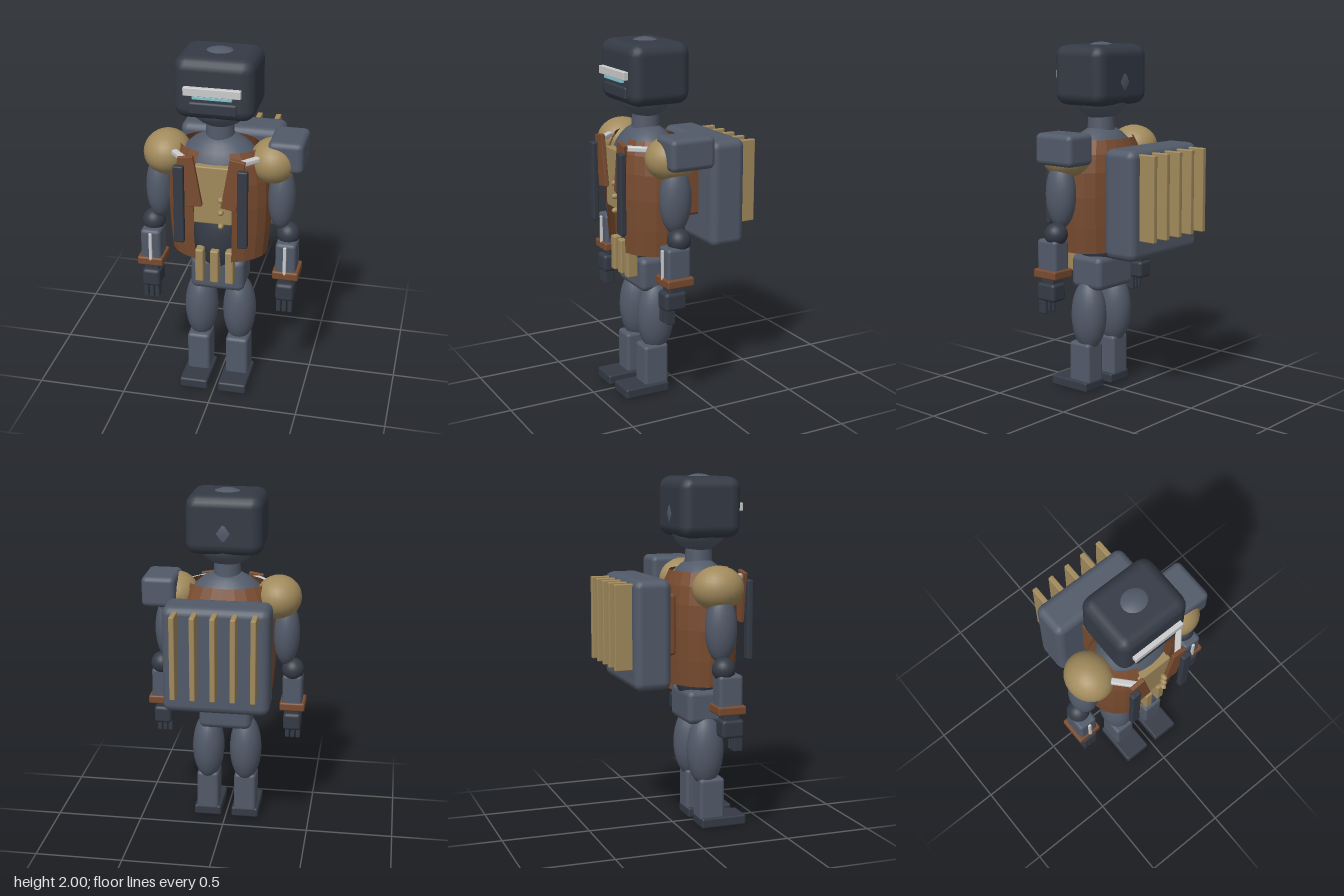
import * as THREE from 'three';
import { RoundedBoxGeometry } from 'three/addons/geometries/RoundedBoxGeometry.js';

const mat = (color, extra = {}) => new THREE.MeshStandardMaterial({ color, ...extra });
const slate = mat(0x525a69), dark = mat(0x343a45), brown = mat(0x784b2f), tan = mat(0xa18a5c);
const pale = mat(0xc0c0c0), cyan = mat(0x86c8d2);
const coatMat = mat(0x784b2f, { side: THREE.DoubleSide, flatShading: true });
const CZ = 0.155; // body axis in z

export function createModel() {
  const model = new THREE.Group();
  model.name = 'armouredTraveller';
  model.position.x = -0.004;

  function add(name, geometry, material, x, y, z) {
    const m = new THREE.Mesh(geometry, material);
    m.name = name;
    m.position.set(x, y, z);
    model.add(m);
    return m;
  }
  // box with bevelled edges: size, centre, bevel radius
  const box = (name, material, [w, h, d], [x, y, z], r = 0.012) =>
    add(name, new RoundedBoxGeometry(w, h, d, 2, Math.min(r, w * 0.45, h * 0.45, d * 0.45)), material, x, y, z);
  const ball = (name, material, [rx, ry, rz], [x, y, z]) =>
    add(name, new THREE.SphereGeometry(1, 24, 16).scale(rx, ry, rz), material, x, y, z);

  // head and helmet
  ball('head', slate, [0.2, 0.218, 0.18], [0, 1.782, CZ]);
  box('helmet', dark, [0.43, 0.335, 0.355], [0, 1.818, 0.157], 0.065);
  box('chinPlate', dark, [0.26, 0.07, 0.03], [0, 1.722, 0.328], 0.015);
  box('visorBar', pale, [0.305, 0.045, 0.04], [0, 1.818, 0.34], 0.004);
  box('visorLight', cyan, [0.21, 0.018, 0.03], [0, 1.785, 0.337], 0.003);
  add('neck', new THREE.CylinderGeometry(0.072, 0.08, 0.14, 20), slate, 0, 1.55, CZ);

  // torso
  ball('chest', slate, [0.255, 0.27, 0.185], [0, 1.265, CZ]);
  ball('waist', dark, [0.15, 0.25, 0.14], [0, 0.92, CZ]);
  box('shirtFront', tan, [0.21, 0.335, 0.05], [0, 1.232, 0.322], 0.008);
  for (const y of [1.225, 1.15, 1.07]) ball('button', tan, [0.016, 0.016, 0.022], [0.05, y, 0.368]);

  // coat, open at the front
  const profile = [[0.93, 0.835], [0.975, 0.98], [1, 1.15], [0.985, 1.29], [0.91, 1.39], [0.76, 1.465]]
    .map(([r, y]) => new THREE.Vector2(r, y));
  const gap = 0.38;
  const coat = new THREE.LatheGeometry(profile, 20, gap, Math.PI * 2 - 2 * gap).scale(0.288, 1, 0.207);
  add('coat', coat, coatMat, 0, 0, CZ);

  // pelvis and belt pouches
  box('pelvis', slate, [0.305, 0.195, 0.22], [0, 0.698, 0.15], 0.035);
  for (const i of [-1, 0, 1]) box('beltPouch', tan, [0.048, 0.2, 0.065], [i * 0.084, 0.785, 0.293], 0.01);

  for (const s of [-1, 1]) {
    const side = s > 0 ? 'left' : 'right';
    const part = (n) => side + n;

    // coat trim
    box(part('Lapel'), brown, [0.085, 0.29, 0.024], [s * 0.117, 1.318, 0.367], 0.004).rotation.z = -s * 0.17;
    box(part('ChestStrap'), dark, [0.056, 0.45, 0.034], [s * 0.173, 1.19, 0.391], 0.008);
    box(part('CollarClip'), pale, [0.15, 0.03, 0.035], [s * 0.18, 1.433, 0.315], 0.008).rotation.y = s * 0.83;

    // arm
    ball(part('Shoulder'), tan, [0.13, 0.123, 0.144], [s * 0.294, 1.388, CZ]);
    ball(part('UpperArm'), slate, [0.077, 0.19, 0.09], [s * 0.341, 1.175, CZ]);
    ball(part('Elbow'), dark, [0.065, 0.065, 0.065], [s * 0.383, 0.957, CZ]);
    box(part('Forearm'), slate, [0.115, 0.19, 0.14], [s * 0.383, 0.835, 0.18], 0.02);
    box(part('ForearmStrip'), pale, [0.018, 0.17, 0.014], [s * 0.381, 0.83, 0.254], 0.003);
    box(part('Cuff'), brown, [0.146, 0.05, 0.162], [s * 0.385, 0.738, 0.18], 0.01);
    box(part('Wrist'), dark, [0.085, 0.07, 0.09], [s * 0.383, 0.695, 0.19], 0.01);
    box(part('Hand'), dark, [0.104, 0.105, 0.13], [s * 0.383, 0.63, 0.196], 0.02);
    for (const i of [-1, 0, 1])
      box(part('Finger'), dark, [0.025, 0.09, 0.052], [s * 0.383 + i * 0.032, 0.55, 0.226], 0.005);

    // leg
    ball(part('Thigh'), slate, [0.094, 0.21, 0.107], [s * 0.111, 0.445, 0.157]);
    box(part('Shin'), slate, [0.13, 0.245, 0.15], [s * 0.112, 0.163, 0.18], 0.02);
    box(part('Foot'), dark, [0.162, 0.06, 0.27], [s * 0.112, 0.03, 0.246], 0.012);
  }

  // shoulder pod on the left
  box('shoulderPod', slate, [0.193, 0.175, 0.262], [0.366, 1.433, 0.106], 0.03);

  // backpack with cooling fins
  box('packMount', brown, [0.27, 0.345, 0.1], [0, 1.175, -0.075], 0.02);
  box('backpack', slate, [0.588, 0.605, 0.21], [0, 1.142, -0.21], 0.045);
  for (let i = -2; i <= 2; i++) box('packFin', tan, [0.03, 0.47, 0.12], [i * 0.109, 1.188, -0.352], 0.006);

  return model;
}
